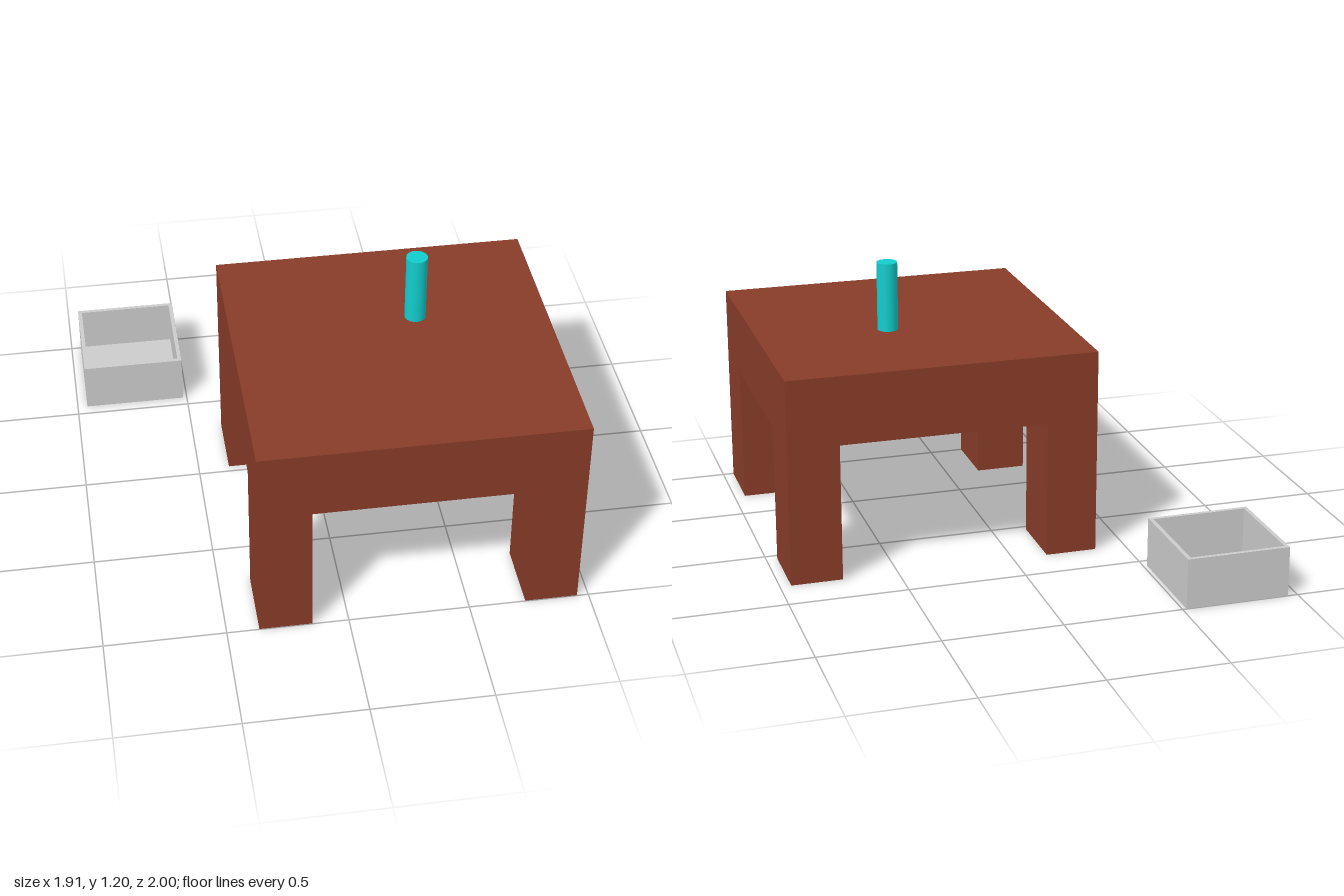
import * as THREE from 'three';

const wood = new THREE.MeshStandardMaterial({ color: 0x883c28 });
const teal = new THREE.MeshStandardMaterial({ color: 0x12cccc });
const grey = new THREE.MeshStandardMaterial({ color: 0xcccccc });

// Box given by its minimum and maximum corners
function box(name, material, [x0, y0, z0], [x1, y1, z1]) {
  const mesh = new THREE.Mesh(new THREE.BoxGeometry(x1 - x0, y1 - y0, z1 - z0), material);
  mesh.position.set((x0 + x1) / 2, (y0 + y1) / 2, (z0 + z1) / 2);
  mesh.name = name;
  return mesh;
}

// Thick square top on four corner legs
function createTable() {
  const table = new THREE.Group();
  table.name = 'table';
  const half = 0.66, legX = 0.218, legZ = 0.29, under = 0.59, height = 0.885;
  table.add(box('tableTop', wood, [-half, under, -half], [half, height, half]));
  for (const sx of [-1, 1]) {
    for (const sz of [-1, 1]) {
      const leg = box('tableLeg', wood, [-legX / 2, 0, -legZ / 2], [legX / 2, under, legZ / 2]);
      leg.position.x = sx * (half - legX / 2);
      leg.position.z = sz * (half - legZ / 2);
      table.add(leg);
    }
  }
  table.position.set(0.293, 0, 0.338);
  return table;
}

// Open-topped square bin: a hollow frame extruded upward around a floor
function createBin() {
  const bin = new THREE.Group();
  bin.name = 'bin';
  const w = 0.22, d = 0.225, h = 0.215, wall = 0.017;
  const rect = (path, a, b) =>
    path.moveTo(-a, -b).lineTo(a, -b).lineTo(a, b).lineTo(-a, b).closePath();
  const outline = rect(new THREE.Shape(), w, d);
  outline.holes.push(rect(new THREE.Path(), w - wall, d - wall));
  const walls = new THREE.Mesh(
    new THREE.ExtrudeGeometry(outline, { depth: h, bevelEnabled: false }).rotateX(-Math.PI / 2), grey);
  walls.name = 'binWalls';
  bin.add(walls, box('binFloor', grey, [-w + wall, 0, -d + wall], [w - wall, wall, d - wall]));
  bin.position.set(-0.737, 0, -0.775);
  return bin;
}

export function createModel() {
  const model = new THREE.Group();
  model.name = 'tableCanAndBin';

  // Slim can hovering just above the table top
  const can = new THREE.Mesh(new THREE.CylinderGeometry(0.044, 0.044, 0.295, 32), teal);
  can.name = 'can';
  can.position.set(0.402, 1.048, 0.187);

  model.add(createTable(), can, createBin());
  return model;
}
